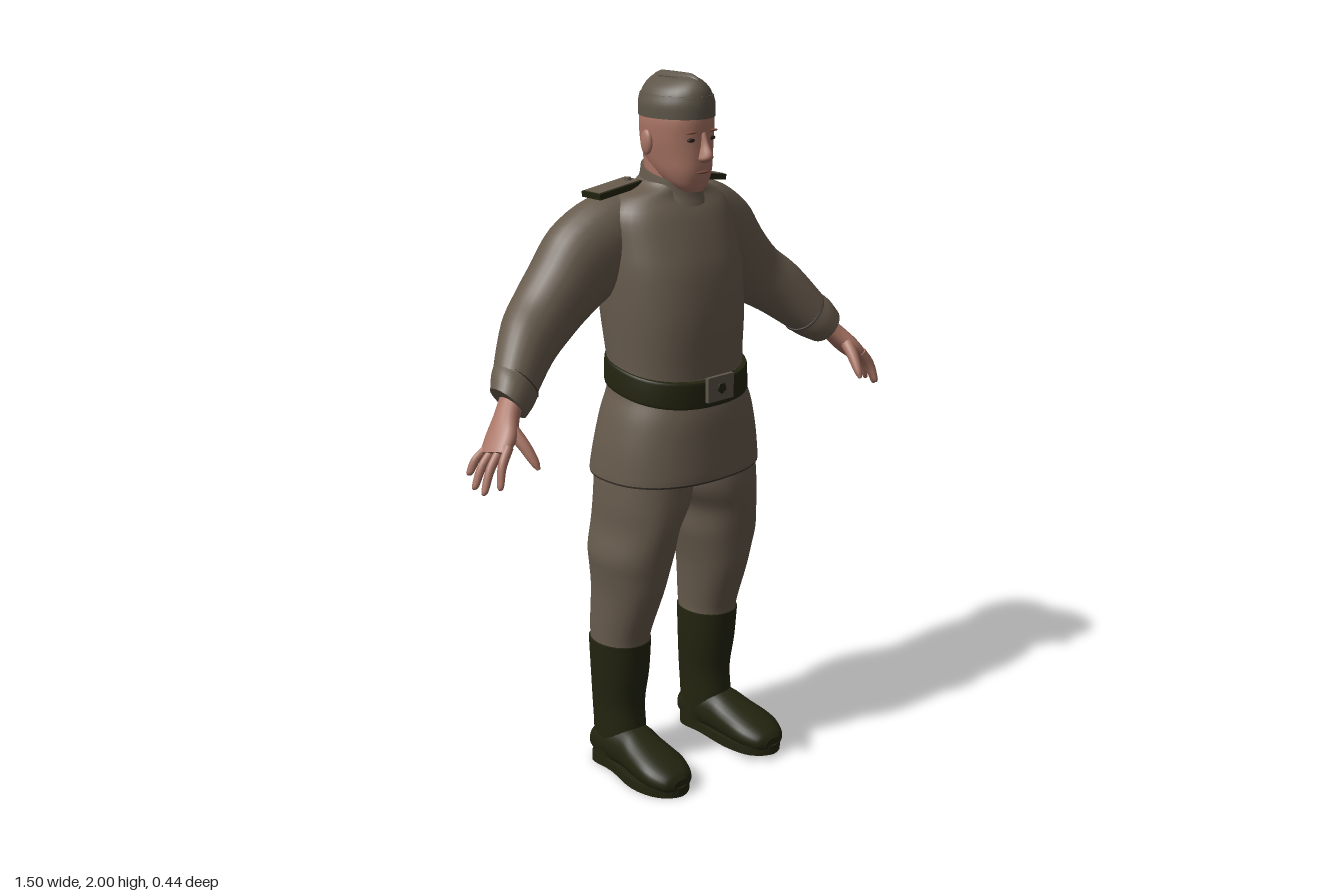
import * as THREE from 'three';

const mat = (name, color) => {
  const m = new THREE.MeshStandardMaterial({ color });
  m.name = name;
  return m;
};
const M = {
  uniform: mat('uniform brown', 0x665a4c),
  cap: mat('cap brown', 0x5d5548),
  seam: mat('dark seam', 0x38312a),
  leather: mat('dark leather', 0x23240f),
  skin: mat('skin', 0xa87464),
  lips: mat('lips', 0x80503f),
  dark: mat('eye dark', 0x2c1e18),
};
const X = [1, 0, 0], Y = [0, 1, 0], Z = [0, 0, 1];

// Smooth skin over sections [x, y, z, half-size along u, half-size along v]
function loft(sections, { u = X, v = Z, side = 1, e = 2.3, n = 28, steps = 4 } = {}) {
  const flipX = (p) => new THREE.Vector3(p[0] * side, p[1], p[2]);
  const U = flipX(u), V = flipX(v);
  const path = new THREE.CatmullRomCurve3(sections.map(flipX), false, 'catmullrom');
  const size = new THREE.CatmullRomCurve3(
    sections.map((s) => new THREE.Vector3(s[3], s[4], 0)), false, 'catmullrom');
  const rows = (sections.length - 1) * steps;
  const pos = [], idx = [];
  const bend = (c) => Math.sign(c) * Math.abs(c) ** (2 / e);
  const ring = (t) => {
    const c = path.getPoint(t), s = size.getPoint(t);
    for (let j = 0; j < n; j++) {
      const a = (j / n) * Math.PI * 2;
      const p = c.clone().addScaledVector(U, s.x * bend(Math.cos(a))).addScaledVector(V, s.y * bend(Math.sin(a)));
      pos.push(p.x, p.y, p.z);
    }
    return c;
  };
  const along = path.getPoint(1).sub(path.getPoint(0));
  const flip = along.dot(V.clone().cross(U)) < 0;
  const tri = (a, b, c) => (flip ? idx.push(a, c, b) : idx.push(a, b, c));
  for (let i = 0; i <= rows; i++) ring(i / rows);
  for (let i = 0; i < rows; i++) {
    for (let j = 0; j < n; j++) {
      const a = i * n + j, b = i * n + ((j + 1) % n);
      tri(a, a + n, b);
      tri(b, a + n, b + n);
    }
  }
  // End caps with their own vertices
  for (const t of [0, 1]) {
    const base = pos.length / 3;
    const c = ring(t);
    pos.push(c.x, c.y, c.z);
    for (let j = 0; j < n; j++) {
      const a = base + j, b = base + ((j + 1) % n);
      if (t) tri(a, base + n, b); else tri(b, base + n, a);
    }
  }
  const g = new THREE.BufferGeometry();
  g.setAttribute('position', new THREE.Float32BufferAttribute(pos, 3));
  g.setIndex(idx);
  g.computeVertexNormals();
  return g;
}

export function createModel() {
  const model = new THREE.Group();
  model.name = 'soldier';
  const add = (name, geometry, material, p = [0, 0, 0], parent = model) => {
    const m = new THREE.Mesh(geometry, material);
    m.name = name;
    m.position.set(...p);
    parent.add(m);
    return m;
  };
  const blob = (name, p, r, material) =>
    add(name, new THREE.SphereGeometry(1, 16, 12).scale(...r), material, p);

  // Tunic, collar and belt
  add('tunicBody', loft([
    [0, 1.14, -0.01, 0.2, 0.153], [0, 1.22, -0.015, 0.198, 0.16], [0, 1.35, -0.025, 0.205, 0.174],
    [0, 1.47, -0.04, 0.208, 0.175], [0, 1.55, -0.05, 0.205, 0.16], [0, 1.63, -0.06, 0.198, 0.135],
    [0, 1.675, -0.06, 0.16, 0.105], [0, 1.7, -0.045, 0.1, 0.088], [0, 1.72, -0.04, 0.075, 0.08],
  ], { n: 40 }), M.uniform);
  add('tunicSkirt', loft([
    [0, 0.905, -0.018, 0.252, 0.198], [0, 0.93, -0.017, 0.25, 0.197], [0, 1.0, -0.013, 0.241, 0.188],
    [0, 1.08, -0.01, 0.223, 0.178], [0, 1.14, -0.01, 0.203, 0.164], [0, 1.19, -0.012, 0.196, 0.157],
  ], { n: 40 }), M.uniform);
  add('skirtHem', loft([[0, 0.901, -0.018, 0.2515, 0.1975], [0, 0.906, -0.018, 0.2525, 0.1985]],
    { n: 40, steps: 1 }), M.seam);
  add('collar', loft([[0, 1.68, -0.03, 0.09, 0.1], [0, 1.705, -0.03, 0.083, 0.09], [0, 1.735, -0.03, 0.08, 0.085]],
    { v: [0, -0.3, 1], e: 2 }), M.uniform);
  const tilt = [0, -0.18, 1];
  add('belt', loft([
    [0, 1.142, -0.01, 0.204, 0.171], [0, 1.15, -0.01, 0.208, 0.173],
    [0, 1.208, -0.01, 0.205, 0.172], [0, 1.215, -0.01, 0.201, 0.169],
  ], { v: tilt, n: 40, steps: 2 }), M.leather);
  add('buckle', new THREE.BoxGeometry(0.095, 0.07, 0.012), M.cap, [0, 1.163, 0.166]);
  add('buckleStud', new THREE.CylinderGeometry(0.016, 0.016, 0.006, 5).rotateX(Math.PI / 2), M.leather, [0, 1.163, 0.174]);

  // Head and neck
  add('neck', loft([[0, 1.66, -0.03, 0.07, 0.075], [0, 1.78, -0.035, 0.07, 0.075]], { e: 2 }), M.skin);
  add('head', loft([
    [0, 1.69, 0.055, 0.028, 0.026], [0, 1.71, 0.035, 0.053, 0.055], [0, 1.745, 0.013, 0.071, 0.086],
    [0, 1.785, -0.004, 0.08, 0.104], [0, 1.83, -0.008, 0.087, 0.107], [0, 1.88, -0.008, 0.089, 0.108],
    [0, 1.92, -0.008, 0.08, 0.1],
  ], { e: 2.2 }), M.skin);
  add('nose', loft([
    [0, 1.77, 0.094, 0.009, 0.012], [0, 1.78, 0.1, 0.019, 0.026], [0, 1.795, 0.098, 0.016, 0.032],
    [0, 1.82, 0.094, 0.01, 0.022], [0, 1.85, 0.09, 0.009, 0.014],
  ], { e: 2, n: 16 }), M.skin);
  blob('mouth', [0, 1.745, 0.094], [0.024, 0.005, 0.009], M.lips);
  for (const s of [1, -1]) {
    blob('ear', [s * 0.09, 1.82, -0.028], [0.011, 0.034, 0.021], M.skin);
    blob('eye', [s * 0.036, 1.832, 0.089], [0.014, 0.006, 0.007], M.dark);
    blob('eyebrow', [s * 0.037, 1.852, 0.09], [0.02, 0.004, 0.008], M.lips);
  }

  // Side cap: crown, turned-up flap and pinched ridge
  add('capCrown', loft([
    [0, 1.886, -0.008, 0.088, 0.112], [0, 1.93, -0.008, 0.086, 0.112], [0, 1.96, -0.008, 0.072, 0.106],
    [0, 1.982, -0.008, 0.045, 0.09], [0, 1.992, -0.008, 0.022, 0.07],
  ], { e: 2 }), M.cap);
  add('capFlap', loft([[0, 1.886, -0.008, 0.092, 0.115], [0, 1.92, -0.008, 0.092, 0.116], [0, 1.945, -0.008, 0.084, 0.113]],
    { e: 2 }), M.cap);
  add('capRidge', loft([[0, 1.96, -0.008, 0.028, 0.1], [0, 1.988, -0.008, 0.02, 0.085], [0, 2.0, -0.008, 0.006, 0.06]],
    { e: 2 }), M.cap);
  for (const s of [1, -1]) {
    const fold = new THREE.CatmullRomCurve3([[0.01, 1.966, 0.092], [0.028, 1.984, 0.04], [0.03, 1.987, -0.01],
      [0.028, 1.984, -0.056], [0.01, 1.966, -0.108]].map((p) => new THREE.Vector3(s * p[0], p[1], p[2])));
    add('capFold', new THREE.TubeGeometry(fold, 20, 0.0025, 6), M.seam);
  }

  for (const side of [1, -1]) {
    const tag = side > 0 ? 'left' : 'right';

    // Sleeve and cuff
    const arm = { u: [0.63, 0.78, 0], side, e: 2.1 };
    add(tag + 'Sleeve', loft([
      [0.05, 1.6, -0.085, 0.1, 0.085], [0.125, 1.563, -0.1, 0.145, 0.1], [0.248, 1.509, -0.11, 0.13, 0.1],
      [0.33, 1.437, -0.113, 0.108, 0.094], [0.397, 1.377, -0.108, 0.096, 0.088],
      [0.47, 1.325, -0.08, 0.086, 0.08], [0.55, 1.245, -0.033, 0.068, 0.066], [0.58, 1.215, -0.012, 0.055, 0.055],
    ], arm), M.uniform);
    add(tag + 'Cuff', loft([[0.54, 1.25, -0.036, 0.07, 0.068], [0.565, 1.23, -0.022, 0.069, 0.066],
      [0.594, 1.203, -0.004, 0.058, 0.056]], arm), M.uniform);
    add(tag + 'CuffSeam', loft([[0.537, 1.252, -0.037, 0.069, 0.067], [0.541, 1.249, -0.035, 0.0715, 0.0695]],
      { ...arm, steps: 1 }), M.seam);

    // Shoulder strap with lighter inset and button
    const strap = new THREE.Group();
    strap.name = tag + 'ShoulderStrap';
    strap.position.set(side * 0.155, 1.695, -0.092);
    strap.rotation.z = -side * 0.13;
    model.add(strap);
    add('strapBoard', new THREE.BoxGeometry(0.155, 0.016, 0.076), M.leather, [0, 0, 0], strap);
    add('strapInset', new THREE.BoxGeometry(0.143, 0.006, 0.062), M.uniform, [0, 0.007, 0], strap);
    add('strapButton', new THREE.CylinderGeometry(0.009, 0.011, 0.008, 12), M.cap, [-side * 0.055, 0.013, 0], strap);

    // Hand: palm, four fingers and thumb
    const hand = { u: [-0.2, 0.2, 0.95], v: [0.7, 0.7, 0], side, n: 14 };
    add(tag + 'Palm', loft([
      [0.57, 1.225, -0.008, 0.034, 0.03], [0.615, 1.18, 0.018, 0.037, 0.028],
      [0.652, 1.138, 0.042, 0.05, 0.025], [0.69, 1.1, 0.056, 0.047, 0.016],
    ], hand), M.skin);
    const tips = [[0.715, 1.025, 0.11], [0.743, 1.01, 0.078], [0.746, 1.017, 0.042], [0.737, 1.045, 0.008]];
    tips.forEach((tip, i) => {
      const t = 0.037 - i * 0.025;
      const base = [0.675 - 0.2 * t, 1.115 + 0.2 * t, 0.055 + 0.95 * t];
      const at = (k, out) => base.map((b, j) => b + (tip[j] - b) * k + (j < 2 ? out : 0));
      add(tag + 'Finger', loft([[...at(0, 0), 0.013, 0.013], [...at(0.5, 0.006), 0.012, 0.012],
        [...at(0.9, 0), 0.01, 0.009], [...at(1, 0), 0.004, 0.004]], { ...hand, e: 2, n: 10 }), M.skin);
    });
    add(tag + 'Thumb', loft([
      [0.635, 1.165, 0.045, 0.02, 0.022], [0.622, 1.12, 0.093, 0.016, 0.018],
      [0.613, 1.08, 0.125, 0.012, 0.012], [0.61, 1.062, 0.137, 0.005, 0.005],
    ], { v: [0, 0.62, 0.78], side, e: 2, n: 10 }), M.skin);

    // Breeches leg
    add(tag + 'Breeches', loft([
      [0.172, 0.38, -0.062, 0.078, 0.088], [0.172, 0.43, -0.06, 0.079, 0.097], [0.166, 0.55, -0.037, 0.087, 0.119],
      [0.163, 0.62, -0.03, 0.098, 0.13], [0.16, 0.68, -0.025, 0.108, 0.138], [0.149, 0.76, -0.017, 0.104, 0.147],
      [0.127, 0.84, -0.013, 0.124, 0.152], [0.12, 0.95, -0.015, 0.122, 0.152],
    ], { side, e: 2.1 }), M.uniform);

    // Tall boot: shaft, foot and sole
    add(tag + 'BootShaft', loft([
      [0.174, 0.03, -0.078, 0.066, 0.074], [0.173, 0.1, -0.066, 0.067, 0.085], [0.172, 0.2, -0.072, 0.07, 0.083],
      [0.172, 0.3, -0.065, 0.079, 0.09], [0.173, 0.4, -0.062, 0.084, 0.095],
    ], { side, e: 2.1 }), M.leather);
    add(tag + 'BootFoot', loft([
      [0.176, 0.055, -0.148, 0.045, 0.04], [0.175, 0.07, -0.1, 0.066, 0.062], [0.177, 0.072, 0, 0.066, 0.066],
      [0.182, 0.062, 0.06, 0.072, 0.056], [0.186, 0.05, 0.14, 0.077, 0.043], [0.186, 0.038, 0.195, 0.056, 0.03],
      [0.186, 0.032, 0.214, 0.028, 0.016],
    ], { v: Y, side }), M.leather);
    const outline = new THREE.SplineCurve([[0.176, -0.157], [0.235, -0.12], [0.24, -0.03], [0.265, 0.09],
      [0.245, 0.18], [0.186, 0.22], [0.125, 0.18], [0.106, 0.09], [0.115, -0.03], [0.118, -0.12], [0.176, -0.157]]
      .map(([x, z]) => new THREE.Vector2(x * side, z)));
    const sole = new THREE.ExtrudeGeometry(new THREE.Shape(outline.getPoints(40)), { depth: 0.028, bevelEnabled: false });
    add(tag + 'BootSole', sole.rotateX(Math.PI / 2).translate(0, 0.028, 0), M.leather);
  }
  return model;
}
